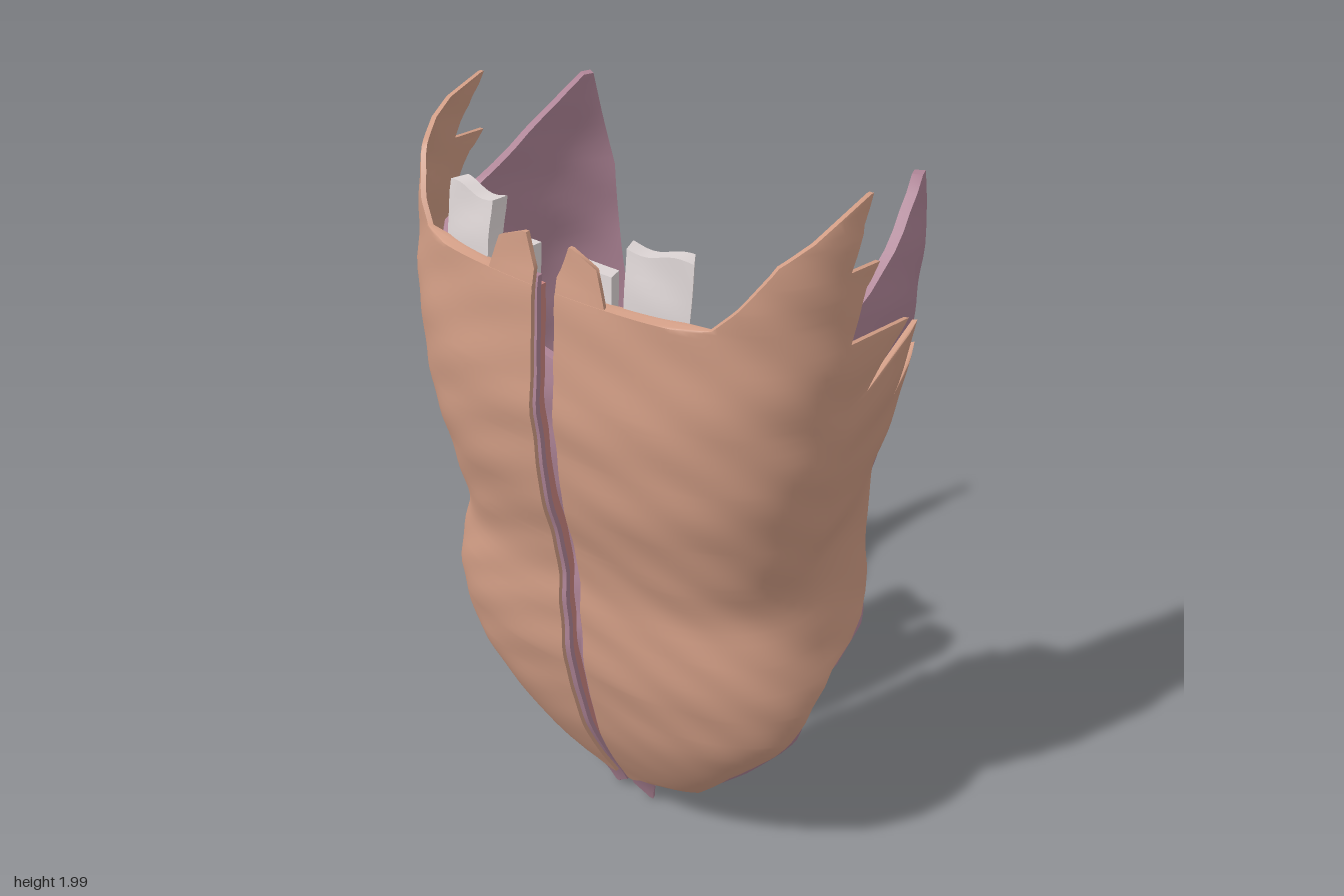
import * as THREE from 'three';
import { toCreasedNormals } from 'three/addons/utils/BufferGeometryUtils.js';

const { lerp, clamp, smoothstep } = THREE.MathUtils;

// Piecewise-linear lookup in a list of [y, value], y descending
function at(list, y) {
  if (y >= list[0][0]) return list[0][1];
  for (let i = 1; i < list.length; i++) {
    const [y0, a] = list[i - 1], [y1, b] = list[i];
    if (y >= y1) return lerp(a, b, (y0 - y) / (y0 - y1 || 1));
  }
  return list[list.length - 1][1];
}
// Softened lookup for the body outline
const soft = (list, y) => (at(list, y - 0.04) + 2 * at(list, y) + at(list, y + 0.04)) / 4;

// Torso outline by height: half width, front depth, back depth, midline gap
const WIDTH = [[2, 0.6], [1.8, 0.63], [1.6, 0.64], [1.4, 0.63], [1.2, 0.6], [1, 0.55], [0.9, 0.54],
  [0.8, 0.56], [0.65, 0.605], [0.55, 0.59], [0.45, 0.56], [0.3, 0.45], [0.17, 0.33], [0.05, 0.2], [0, 0.16]];
const FRONT = [[2, 0.37], [1.83, 0.39], [1.75, 0.4], [1.6, 0.415], [1.4, 0.425], [1.2, 0.405], [1.1, 0.385],
  [1, 0.36], [0.9, 0.335], [0.8, 0.345], [0.6, 0.33], [0.5, 0.31], [0.4, 0.285], [0.3, 0.25], [0.2, 0.2],
  [0.1, 0.14], [0, 0.095]];
const BACK = [[2, 0.74], [1.92, 0.72], [1.65, 0.66], [1.3, 0.6], [1.1, 0.51], [1, 0.48], [0.7, 0.475], [0, 0.42]];
const GAP = [[1.9, 0.03], [1, 0.025], [0, 0.012]];
const N = 2.6;

// Point on the torso: t = 0 front midline, 1 flank, 2 back midline
function torso(t, y, inset) {
  const a = t * Math.PI / 2, gap = at(GAP, y);
  const s = Math.abs(Math.sin(a)) ** (2 / N), c = Math.abs(Math.cos(a)) ** (2 / N);
  const relief = 0.002 * Math.sin(23 * y - 5 * t) + 0.0015 * Math.sin(41 * y + 19 * t);
  const k = inset - relief * smoothstep(y, 0.1, 0.6);
  const x = gap + (soft(WIDTH, y) - gap - k) * s;
  const z = t < 1 ? (soft(FRONT, y) - k) * c : -(soft(BACK, y) - k) * c;
  return [x, z];
}

// Edge points [y, t], given by x on the front, x on the back, or z
const fx = (y, x) => {
  const g = at(GAP, y), r = clamp((x - g) / (soft(WIDTH, y) - g), 0, 1);
  return [y, Math.asin(r ** (N / 2)) * 2 / Math.PI];
};
const bx = (y, x) => [y, 2 - fx(y, x)[1]];
const fz = (y, z) => {
  const r = clamp(Math.abs(z) / soft(z > 0 ? FRONT : BACK, y), 0, 1);
  const t = Math.acos(r ** (N / 2)) * 2 / Math.PI;
  return [y, z > 0 ? t : 2 - t];
};

// Thick curved sheet between two edges, on one side of the body
function sheet({ start, end, inset, thick, cols, lift }, side) {
  const hi = start[0][0], lo = end[end.length - 1][0];
  const ys = [...start, ...end].map((e) => e[0]);
  for (let y = hi; y > lo; y -= 0.03) ys.push(y);
  const rows = [...new Set(ys)].sort((a, b) => b - a);
  const tMin = Math.min(...start.map((e) => e[1])), tMax = Math.max(...end.map((e) => e[1]));
  const pos = [], index = [], ring = 2 * (cols + 1);
  for (const y of rows) {
    const t0 = at(start, y), t1 = Math.max(t0, at(end, y));
    for (let j = 0; j < ring; j++) {
      const inner = j > cols;
      const t = clamp(lerp(tMin, tMax, (inner ? ring - 1 - j : j) / cols), t0, t1);
      const d = typeof inset === 'function' ? inset(t, y) : inset;
      const [x, z] = torso(t, y, d + (inner ? thick : 0));
      pos.push(side * x, y + (lift ? lift(x, y, z) : 0), z);
    }
  }
  const quad = (a, b, c, d) => (side > 0 ? index.push(a, b, c, a, c, d) : index.push(a, c, b, a, d, c));
  for (let i = 0; i < rows.length - 1; i++)
    for (let j = 0; j < ring; j++) {
      const k = (j + 1) % ring, p = i * ring, q = p + ring;
      quad(p + j, q + j, q + k, p + k);
    }
  const last = (rows.length - 1) * ring;
  for (let j = 0; j < cols; j++) {
    const m = ring - 1 - j;
    quad(j, j + 1, m - 1, m);
    quad(last + j, last + m, last + m - 1, last + j + 1);
  }
  const geo = new THREE.BufferGeometry();
  geo.setAttribute('position', new THREE.Float32BufferAttribute(pos, 3));
  geo.setIndex(index);
  return toCreasedNormals(geo, 0.9);
}

const mat = (color) => new THREE.MeshStandardMaterial({ color, side: THREE.DoubleSide });

export function createModel() {
  const model = new THREE.Group();
  const tan = mat(0xd09c84), mauve = mat(0xae8496), pink = mat(0xc98480), white = mat(0xdcd4d4);

  const parts = {
    // Outer muscle with saw-toothed rear edge and a raised upper corner
    outerOblique: [tan, {
      start: [fz(2, -0.03), fx(1.9, 0.545), fx(1.8, 0.485), fx(1.75, 0.44), fx(1.742, 0.035), fx(0.1, 0.022)],
      end: [fz(2, -0.04), fz(1.92, 0.01), fz(1.845, 0.06), fz(1.835, -0.05), fz(1.67, 0.065),
        fz(1.64, -0.18), fz(1.48, -0.02), fz(1.465, -0.25), fz(1.32, -0.18), fz(1.31, -0.34),
        fz(1.14, -0.28), fz(1.13, -0.36), fz(1.02, -0.3), fz(1, -0.37), fz(0.97, -0.33),
        fz(0.8, -0.3), fz(0.76, -0.22), fz(0.68, 0), fz(0.6, 0.08),
        fx(0.49, 0.555), fx(0.32, 0.4), fx(0.175, 0.27), fx(0.165, 0.2), fx(0.13, 0.08), fx(0.1, 0.04)],
      inset: 0, thick: 0.012, cols: 52,
      // teeth sweep upward toward the back
      lift: (x, y, z) => 0.45 * Math.max(0, 0.05 - z) * smoothstep(y, 0.8, 1.1) * (1 - smoothstep(y, 1.47, 1.64)),
    }],
    // Short raised flap of the outer muscle beside the midline
    outerObliqueTab: [tan, {
      start: [fx(1.86, 0.065), fx(1.78, 0.035), fx(1.7, 0.035)],
      end: [fx(1.86, 0.075), fx(1.83, 0.15), fx(1.74, 0.18), fx(1.7, 0.18)],
      inset: 0.001, thick: 0.012, cols: 14,
    }],
    // Inner muscle wall, wrapping to a flap at the lower back
    innerWall: [mauve, {
      start: [bx(1.92, 0.57), fz(1.67, 0.07), fx(1.56, 0.4), fx(1.5, 0.03), fx(0.5, 0.03),
        fx(0.465, 0.27), fx(0.12, 0.11)],
      end: [bx(1.92, 0.56), bx(1.65, 0.53), bx(1.3, 0.48), bx(1.12, 0.44), bx(1.05, 0.35), bx(0.75, 0.29),
        bx(0.7, 0.29), fz(0.69, -0.37), fz(0.685, -0.22), fz(0.655, 0), fz(0.55, 0.08), fx(0.42, 0.535),
        fx(0.28, 0.405), fx(0.15, 0.26), fx(0.12, 0.13)],
      inset: (t, y) => 0.016 + smoothstep(y, 0.1, 0.6)
        * (0.005 + 0.06 * (1 - smoothstep(t, 0.3, 0.9)) + 0.015 * smoothstep(y, 0.6, 0.9)),
      thick: 0.025, cols: 52,
    }],
    // Narrow sheath along the midline, ending in a pointed tip
    midlineSheath: [mauve, {
      start: [[1.76, 0], [0.05, 0], fx(0.01, 0.06)],
      end: [fx(1.76, 0.1), fx(0.2, 0.2), fx(0.12, 0.12), fx(0.01, 0.075)],
      inset: 0.013, thick: 0.014, cols: 16,
    }],
    // Straight strap muscle with pale tendons at its ends
    strapMuscle: [pink, {
      start: [fx(1.72, 0.05), fx(0.2, 0.03)],
      end: [fx(1.72, 0.36), fx(1.2, 0.36), fx(0.6, 0.31), fx(0.45, 0.27), fx(0.2, 0.15)],
      inset: 0.03, thick: 0.035, cols: 24,
      lift: (x, y) => (1 - smoothstep(y, 0.2, 0.28)) * 0.012 * Math.sin(x * 160),
    }],
    lowerTendon: [white, {
      start: [fx(0.2, 0.03), fx(0.05, 0.03)],
      end: [fx(0.2, 0.15), fx(0.05, 0.085)],
      inset: 0.029, thick: 0.037, cols: 20,
      lift: (x, y) => smoothstep(y, 0.12, 0.2) * 0.012 * Math.sin(x * 160),
    }],
    outerTopTendon: [white, {
      start: [fx(1.885, 0.215), fx(1.68, 0.22)],
      end: [fx(1.885, 0.39), fx(1.68, 0.39)],
      inset: 0.028, thick: 0.039, cols: 10,
      lift: (x, y) => smoothstep(y, 1.84, 1.885) * 0.008 * Math.cos(x * 38),
    }],
    innerTopTendon: [white, {
      start: [fx(1.81, 0.08), fx(1.66, 0.06)],
      end: [fx(1.81, 0.18), fx(1.66, 0.19)],
      inset: 0.028, thick: 0.039, cols: 10,
    }],
  };

  // Mirrored halves
  for (const [label, side] of [['left', 1], ['right', -1]]) {
    const half = new THREE.Group();
    half.name = label + 'Half';
    for (const [name, [material, spec]] of Object.entries(parts)) {
      const mesh = new THREE.Mesh(sheet(spec, side), material);
      mesh.name = name;
      half.add(mesh);
    }
    model.add(half);
  }
  return model;
}
